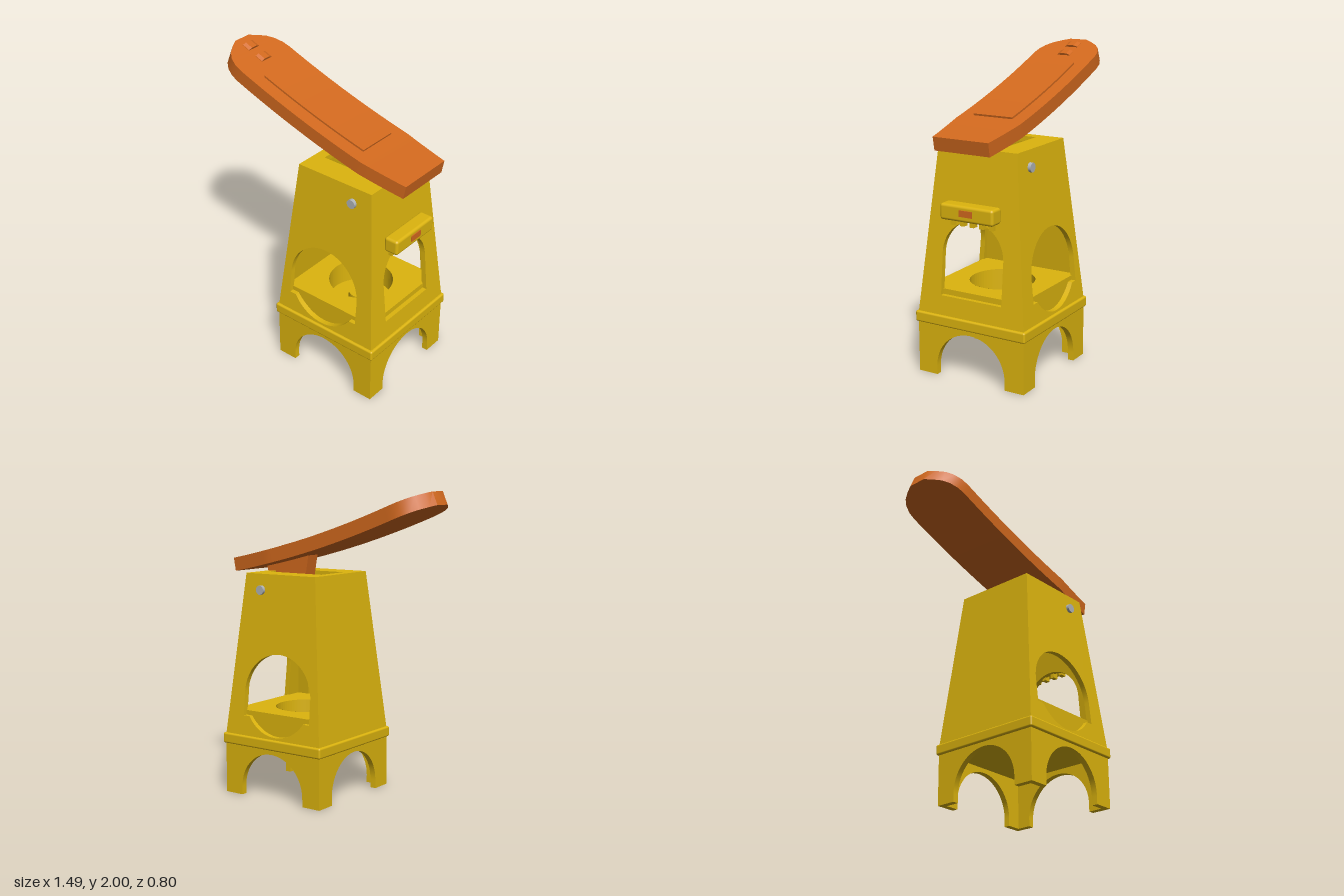
import * as THREE from 'three';
import { toCreasedNormals } from 'three/addons/utils/BufferGeometryUtils.js';
import { RoundedBoxGeometry } from 'three/addons/geometries/RoundedBoxGeometry.js';

const CX = 0.283; // tower axis
const yellow = new THREE.MeshStandardMaterial({ color: 0xdcb40e });
const orange = new THREE.MeshStandardMaterial({ color: 0xd2691e });
const steel = new THREE.MeshStandardMaterial({ color: 0xb0b4b8 });
yellow.name = 'yellow'; orange.name = 'orange'; steel.name = 'steel';

function add(parent, name, geometry, material, x = 0, y = 0, z = 0) {
  const mesh = new THREE.Mesh(geometry, material);
  mesh.name = name;
  mesh.position.set(x, y, z);
  parent.add(mesh);
  return mesh;
}

// Wall facing +z whose outer face leans so that z = half(y); side edges are mitred
function wallGeometry(shape, half, t) {
  const g = new THREE.ExtrudeGeometry(shape, { depth: t, bevelEnabled: false, curveSegments: 28 });
  const p = g.attributes.position;
  for (let i = 0; i < p.count; i++) {
    const x = p.getX(i), y = p.getY(i), z = p.getZ(i), h = half(y);
    if (z < t / 2 && Math.abs(x) > h - 0.002) p.setX(i, Math.sign(x) * (h - t));
    p.setZ(i, h - t + z);
  }
  return toCreasedNormals(g, 0.5);
}

const polygon = (pts) => new THREE.Shape(pts.map(([x, y]) => new THREE.Vector2(x, y)));

// Tower taper
const Y0 = 0.39, Y1 = 1.465;
const towerHalf = (y) => 0.385 - 0.105 * (y - Y0) / (Y1 - Y0);
const towerShape = () => polygon([
  [-towerHalf(Y0), Y0], [towerHalf(Y0), Y0], [towerHalf(Y1), Y1], [-towerHalf(Y1), Y1]]);

// Arched window with a round dip under its sill
function roundWindow(cx) {
  const r = 0.268, cy = 0.688, sill = 0.535, a = Math.asin((cy - sill) / r);
  const h = new THREE.Path();
  h.moveTo(cx + r, sill);
  h.lineTo(cx + r, cy);
  h.absarc(cx, cy, r, 0, Math.PI, false);
  h.lineTo(cx - r, sill);
  h.lineTo(cx - r * Math.cos(a), sill);
  h.absarc(cx, cy, r, Math.PI + a, 2 * Math.PI - a, false);
  h.closePath();
  return h;
}

function archWindow() {
  const h = new THREE.Path();
  h.moveTo(-0.22, 0.53);
  h.lineTo(0.22, 0.53);
  h.lineTo(0.22, 0.8);
  h.absarc(0, 0.8, 0.22, 0, Math.PI, false);
  h.closePath();
  return h;
}

// Lever: top curve and its normal
const leverY = (x) => 2.0 - 0.339 * (x + 0.71) + 0.082 * (x + 0.71) * (x - 0.38);
const leverSlope = (x) => -0.339 + 0.082 * (2 * x + 0.33);
function leverPoint(x, off) {
  const s = leverSlope(x), l = Math.hypot(1, s);
  return [x - s / l * off, leverY(x) + off / l];
}

// Rectangular section swept along the lever curve; stations are [x, half width]
function sweep(stations, lo, hi) {
  const pos = [], idx = [];
  stations.forEach(([x, w], i) => {
    const a = leverPoint(x, hi), b = leverPoint(x, lo);
    pos.push(...a, -w, ...a, w, ...b, w, ...b, -w);
    if (!i) return;
    const q = (i - 1) * 4;
    for (let k = 0; k < 4; k++) {
      const m = (k + 1) % 4;
      idx.push(q + k, q + m, q + 4 + k, q + m, q + 4 + m, q + 4 + k);
    }
  });
  const e = (stations.length - 1) * 4;
  idx.push(0, 3, 2, 0, 2, 1, e, e + 1, e + 2, e, e + 2, e + 3);
  const g = new THREE.BufferGeometry();
  g.setAttribute('position', new THREE.Float32BufferAttribute(pos, 3));
  g.setIndex(idx);
  return toCreasedNormals(g, 0.5);
}

function straight(x0, x1, w, n) {
  return Array.from({ length: n + 1 }, (_, i) => [x0 + (x1 - x0) * i / n, w]);
}

export function createModel() {
  const model = new THREE.Group();
  model.name = 'leverTower';

  // Base: four walls with arches, forming corner legs
  const base = new THREE.Group();
  base.name = 'base';
  base.position.x = CX;
  const leg = polygon([[0.25, 0], [0.385, 0], [0.385, 0.337], [-0.385, 0.337], [-0.385, 0], [-0.25, 0], [-0.25, 0.055]]);
  leg.absarc(0, 0.055, 0.25, Math.PI, 0, true);
  const legGeometry = wallGeometry(leg, () => 0.385, 0.04);
  for (let i = 0; i < 4; i++) add(base, 'archedBaseWall', legGeometry, yellow).rotation.y = i * Math.PI / 2;
  add(base, 'band', new RoundedBoxGeometry(0.8, 0.07, 0.8, 3, 0.012), yellow, 0, 0.37, 0);
  model.add(base);

  // Tower: front, +x, back and -x walls
  const tower = new THREE.Group();
  tower.name = 'tower';
  tower.position.x = CX;
  const holes = [roundWindow(-0.027), archWindow(), roundWindow(0.027), null];
  ['frontWall', 'leftWall', 'backWall', 'rightWall'].forEach((name, i) => {
    const s = towerShape();
    if (holes[i]) s.holes.push(holes[i]);
    add(tower, name, wallGeometry(s, towerHalf, 0.035), yellow).rotation.y = i * Math.PI / 2;
  });

  // Roof with a slot for the lever arm
  const roof = polygon([[-0.25, -0.25], [0.25, -0.25], [0.25, 0.25], [-0.25, 0.25]]);
  roof.holes.push(new THREE.Path([[-0.21, -0.12], [-0.21, 0.12], [0.22, 0.12], [0.22, -0.12]]
    .map(([x, y]) => new THREE.Vector2(x, y))));
  const roofMesh = add(tower, 'roof', new THREE.ExtrudeGeometry(roof, { depth: 0.035, bevelEnabled: false }),
    yellow, 0, Y1, 0);
  roofMesh.rotation.x = Math.PI / 2;

  // Floor with a funnel dish
  const f = 0.342;
  const floor = polygon([[-f, -f], [f, -f], [f, f], [-f, f]]);
  const ring = new THREE.Path();
  ring.absarc(0, 0, 0.21, 0, Math.PI * 2, true);
  floor.holes.push(ring);
  add(tower, 'floor', new THREE.ExtrudeGeometry(floor, { depth: 0.16, bevelEnabled: false, curveSegments: 32 }),
    yellow, 0, 0.566, 0).rotation.x = Math.PI / 2;
  const dish = [[0.001, 0.42], [0.08, 0.42], [0.08, 0.47], [0.21, 0.566]].map(([x, y]) => new THREE.Vector2(x, y));
  add(tower, 'dish', toCreasedNormals(new THREE.LatheGeometry(dish, 40), 0.5), yellow);
  model.add(tower);

  // Bracket with teeth and badge on the +x wall
  const bracket = new THREE.Group();
  bracket.name = 'bracket';
  add(bracket, 'bracketBar', new RoundedBoxGeometry(0.1, 0.102, 0.38, 3, 0.018), yellow, 0.647, 1.085, 0);
  add(bracket, 'badge', new THREE.BoxGeometry(0.009, 0.04, 0.092), orange, 0.699, 1.09, 0);
  for (let i = -2; i <= 2; i++) {
    add(bracket, 'tooth', new THREE.BoxGeometry(0.04, 0.06, 0.03), yellow, 0.614, 1.02, i * 0.07);
  }
  model.add(bracket);

  // Pivot axle, its ends showing as bolts
  add(model, 'axle', new THREE.CylinderGeometry(0.03, 0.03, 0.62, 24), steel, 0.43, 1.36, 0).rotation.x = Math.PI / 2;

  // Lever: curved plank with rounded tip, raised pad, grips and arm
  const lever = new THREE.Group();
  lever.name = 'lever';
  const outline = [[-0.71, 0.06], [-0.685, 0.11], [-0.65, 0.165], [-0.61, 0.2], [-0.56, 0.222],
    ...straight(-0.51, 0.44, 0.229, 24),
    ...[1, 2, 3, 4, 5, 6].map((i) => [0.44 + i * 0.0508, 0.229 - i * 0.0057])];
  add(lever, 'plank', sweep(outline, -0.088, 0), orange);
  add(lever, 'pad', sweep(straight(-0.397, 0.385, 0.138, 20), -0.01, 0.012), orange);
  const bump = polygon([[-0.05, -0.01], [0.05, -0.01], [0.045, 0.004], [0.022, 0.014], [-0.022, 0.014], [-0.045, 0.004]]);
  const bumpGeometry = new THREE.ExtrudeGeometry(bump, { depth: 0.056, bevelEnabled: false });
  bumpGeometry.translate(0, 0, -0.028).rotateY(Math.PI / 2);
  for (const x of [-0.634, -0.527]) {
    add(lever, 'grip', bumpGeometry, orange, x, leverY(x), 0).rotation.z = Math.atan(leverSlope(x));
  }
  const arm = polygon([[0.225, 1.61], [0.258, 1.42], [0.39, 1.3], [0.47, 1.3], [0.562, 1.445], [0.585, 1.53]]);
  add(lever, 'pivotArm', new THREE.ExtrudeGeometry(arm, { depth: 0.1, bevelEnabled: false }), orange, 0, 0, -0.05);
  model.add(lever);

  return model;
}
